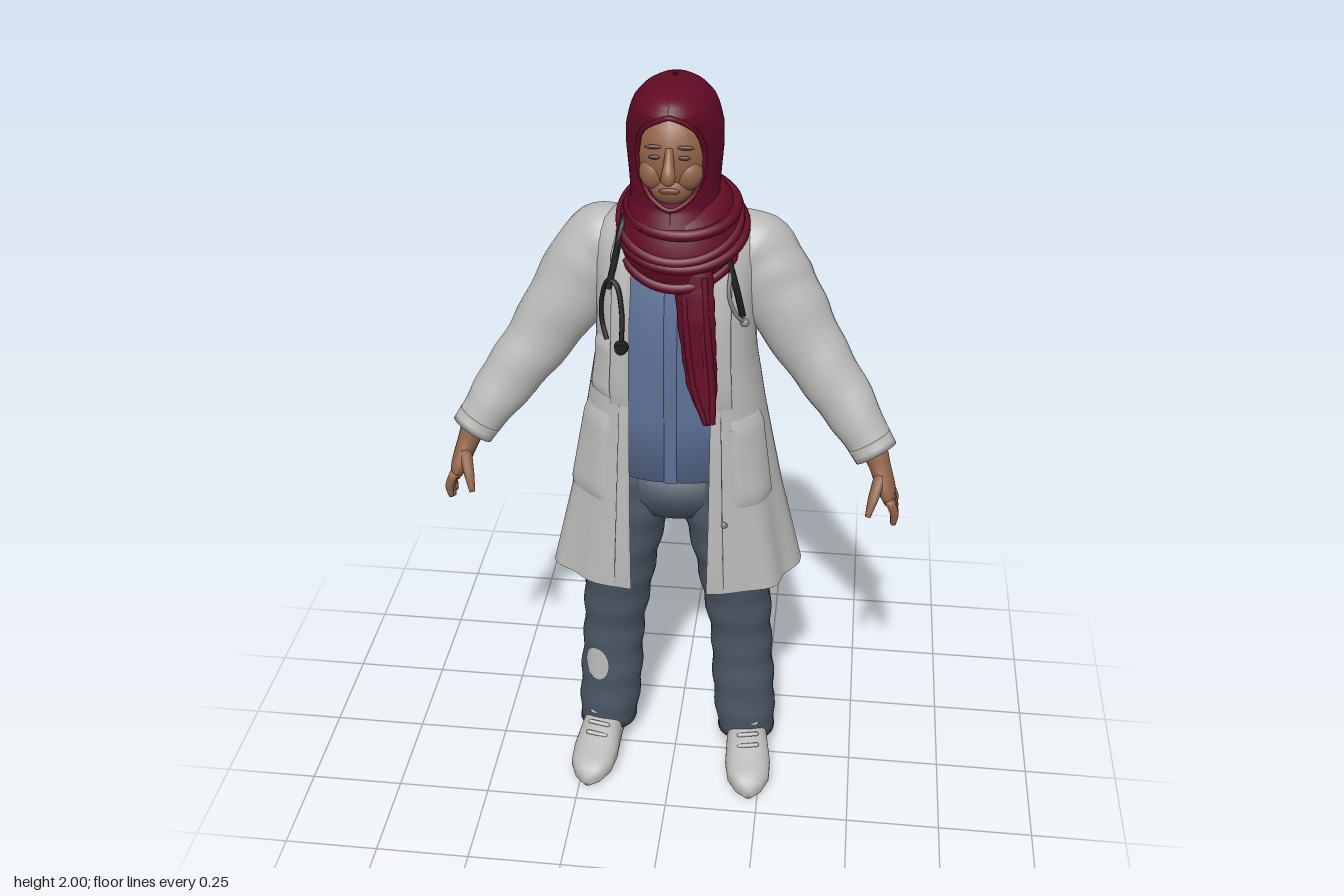
import * as THREE from 'three';

const mat = (name, color, side = THREE.FrontSide) => {
  const m = new THREE.MeshStandardMaterial({ color, side });
  m.name = name;
  return m;
};
const V = (x, y, z) => new THREE.Vector3(x, y, z);
const range = (n, f) => Array.from({ length: n + 1 }, (_, i) => f(i / n, i));
const spow = (v, p) => Math.sign(v) * Math.abs(v) ** p;

// Linear lookup in a table of rows whose first entry is the height
function lookup(table, y) {
  let i = 0;
  while (i < table.length - 2 && y > table[i + 1][0]) i++;
  const [a, b] = [table[i], table[i + 1]];
  const k = THREE.MathUtils.clamp((y - a[0]) / (b[0] - a[0]), 0, 1);
  return a.map((v, j) => v + (b[j] - v) * k);
}

// Skin over rings of points that run counter-clockwise about the direction of travel
function loft(rings, closed = true, caps = false) {
  const n = rings[0].length, pos = [], idx = [];
  rings.forEach(r => r.forEach(p => pos.push(p.x, p.y, p.z)));
  const at = (i, j) => i * n + (j % n);
  for (let i = 0; i < rings.length - 1; i++)
    for (let j = 0; j < (closed ? n : n - 1); j++) {
      const a = at(i, j), b = at(i, j + 1), c = at(i + 1, j), d = at(i + 1, j + 1);
      idx.push(a, b, c, b, d, c);
    }
  if (caps) [0, rings.length - 1].forEach((i, end) => {
    const m = rings[i].reduce((s, p) => s.add(p), V(0, 0, 0)).divideScalar(n);
    const c = pos.push(m.x, m.y, m.z) / 3 - 1;
    for (let j = 0; j < n; j++) end ? idx.push(c, at(i, j), at(i, j + 1)) : idx.push(c, at(i, j + 1), at(i, j));
  });
  const g = new THREE.BufferGeometry();
  g.setAttribute('position', new THREE.Float32BufferAttribute(pos, 3));
  g.setIndex(idx);
  g.computeVertexNormals();
  return g;
}

// Tapered limb through points [x, y, z, side radius, depth radius], with cloth wrinkles
function limb(pts, steps = 12, wrinkle = 0, sides = 16) {
  const curve = new THREE.CatmullRomCurve3(pts.map(p => V(p[0], p[1], p[2])));
  return loft(range(steps, t => {
    const c = curve.getPoint(t), T = curve.getTangent(t);
    const U = V(0, 0, 1).addScaledVector(T, -T.z).normalize(), W = T.clone().cross(U);
    const r = lookup(pts.map((p, i) => [i / (pts.length - 1), p[3], p[4]]), t);
    return range(sides - 1, (_, j) => {
      const a = j / sides * Math.PI * 2, k = 1 + wrinkle * Math.sin(t * 40 + 2 * Math.sin(a + t * 5));
      return c.clone().addScaledVector(U, r[2] * k * Math.cos(a)).addScaledVector(W, r[1] * k * Math.sin(a));
    });
  }), true, true);
}

// Horizontal ring; drop lowers its front edge
function ring(y, cx, zc, w, dF, dB, drop = 0, sides = 40, p = 1) {
  return range(sides - 1, (_, j) => {
    const a = j / sides * Math.PI * 2, s = Math.sin(a), c = Math.cos(a);
    return V(cx + w * spow(s, p), y - drop * c, zc + (c > 0 ? dF : dB) * spow(c, p));
  });
}

// Coat: height, half width, front depth, back depth, half opening
const COAT = [[.67, .32, .195, .16, .098], [.9, .27, .185, .158, .1], [1.15, .225, .17, .15, .1],
  [1.3, .2, .165, .135, .1], [1.42, .195, .155, .135, .098], [1.52, .2, .13, .13, .095],
  [1.6, .2, .1, .115, .1], [1.65, .165, .075, .09, .09], [1.69, .09, .045, .07, .06]];
const N = 2.5, ZC = -.03;
function coatPoint(t, y, off = 0) {
  const [, w, dF, dB, o] = lookup(COAT, y);
  const a0 = Math.asin((o / w) ** (N / 2)), a = a0 + t * (Math.PI * 2 - 2 * a0);
  const s = Math.sin(a), c = Math.cos(a);
  const fold = .022 * Math.max(0, (1.15 - y) / .48) * Math.sin(a * 9) * Math.sin(Math.PI * t);
  const k = off + fold;
  return V(w * spow(s, 2 / N) + k * s, y, ZC + (c > 0 ? dF : dB) * spow(c, 2 / N) + k * c);
}
const coatZ = (x, y) => {
  const [, w, dF] = lookup(COAT, y);
  return ZC + dF * Math.max(0, 1 - (Math.abs(x) / w) ** N) ** (1 / N);
};
// Cloth patch that hugs the coat
const coatPatch = (t0, t1, y0, y1, off) => loft(range(10, (v, i) => range(12, (u, j) => {
  const edge = i === 0 || i === 10 || j === 0 || j === 12;
  return coatPoint(t0 + (t1 - t0) * u, y0 + (y1 - y0) * v, edge ? 0 : off);
})), false);

// Head scarf: height, half width, front depth, back depth, half face opening
const HOOD = [[1.66, .125, .125, .125, 0], [1.71, .106, .108, .117, .001], [1.735, .105, .105, .12, .045],
  [1.78, .108, .105, .128, .07], [1.84, .113, .115, .13, .078], [1.89, .112, .132, .128, .07],
  [1.93, .102, .148, .12, .045], [1.95, .093, .148, .111, .001], [1.975, .07, .12, .088, 0],
  [1.992, .04, .06, .055, 0], [2, .006, .01, .01, 0]];
const hoodPoint = (t, y) => {
  const [, w, dF, dB, o] = lookup(HOOD, y);
  const a0 = Math.asin(o / w), a = a0 + t * (Math.PI * 2 - 2 * a0), c = Math.cos(a);
  return V(w * Math.sin(a), y, (c > 0 ? dF : dB) * c);
};

const LEG = [[.06, .2, .081, -.05, .095], [.2, .19, .086, -.05, .092], [.4, .178, .083, -.055, .09],
  [.67, .15, .1, -.04, .11], [.85, .11, .1, -.035, .115], [.96, .095, .095, -.035, .11]];

export function createModel() {
  const root = new THREE.Group();
  const white = mat('coat white', 0xb9b9b8, THREE.DoubleSide), wine = mat('scarf wine', 0x610a24, THREE.DoubleSide);
  const blue = mat('shirt blue', 0x5d7095), denim = mat('trouser denim', 0x4a5664);
  const skin = mat('skin', 0x936549), dark = mat('stethoscope black', 0x1d1d20);
  const brown = mat('brow brown', 0x543a2c), lip = mat('lip', 0x6f4438), metal = mat('metal grey', 0x85878a);
  const shoe = mat('shoe white', 0xb4b4b2);
  const add = (name, geo, m, x = 0, y = 0, z = 0) => {
    const mesh = new THREE.Mesh(geo, m);
    mesh.name = name;
    mesh.position.set(x, y, z);
    root.add(mesh);
    return mesh;
  };
  const ball = (name, m, x, y, z, rx, ry, rz) =>
    add(name, new THREE.SphereGeometry(1, 24, 16), m, x, y, z).scale.set(rx, ry, rz);
  const tube = (name, m, pts, r, closed = false) =>
    add(name, new THREE.TubeGeometry(new THREE.CatmullRomCurve3(pts, closed), 48, r, 8, closed), m);

  // Coat with pockets, lapels, back seam and button
  add('coat', loft(range(40, v => range(72, u => coatPoint(u, .67 + 1.02 * v))), false), white);
  for (const m of [t => t, t => 1 - t]) {
    const span = (a, b) => [Math.min(m(a), m(b)), Math.max(m(a), m(b))];
    add('hipPocket', coatPatch(...span(.05, .17), .92, 1.165, .009), white);
    add('lapel', coatPatch(...span(0, .055), 1.2, 1.62, .009), white);
    add('frontHem', coatPatch(...span(0, .025), .67, 1.2, .005), white);
  }
  add('chestPocket', coatPatch(.86, .95, 1.21, 1.36, .008), white);
  add('backYoke', coatPatch(.3, .7, 1.15, 1.19, .007), white);
  ball('button', metal, .14, .88, coatZ(.14, .88) + .004, .009, .009, .004);

  // Shirt
  const SHIRT = [[.975, .185, .14, .12], [1.15, .18, .142, .125], [1.3, .17, .145, .11],
    [1.42, .165, .138, .11], [1.52, .16, .115, .1], [1.6, .13, .09, .08]];
  add('shirt', loft(SHIRT.map(([y, w, f, b]) => ring(y, 0, ZC, w, f, b, 0, 40, .85)), true, true), blue);
  add('shirtPlacket', loft(SHIRT.slice(0, 5).map(([y, , f]) =>
    [V(-.016, y, ZC + f), V(-.012, y, ZC + f + .005), V(.012, y, ZC + f + .005), V(.016, y, ZC + f)]), false), blue);

  // Trousers
  add('hips', loft([[.84, .13, .1], [.9, .18, .12], [1, .18, .125]].map(([y, w, d]) =>
    ring(y, 0, ZC, w, d, d)), true, true), denim);
  for (const s of [-1, 1]) {
    add('trouserLeg', loft(range(36, v => {
      const [y, cx, w, zc, d] = lookup(LEG, .06 + .9 * v);
      const k = .003 * Math.sin(y * 55);
      return ring(y, s * cx, zc, w + k, d + k, d - k, -.015 * (1 - v), 32, .92);
    }), true, true), denim);

    // Shoe: rings run from heel to toe, turned slightly outward
    const foot = [[-.147, .02, .05], [-.137, .042, .09], [-.08, .053, .12], [0, .055, .13], [.05, .059, .112],
      [.1, .063, .085], [.15, .058, .066], [.185, .038, .052], [.199, .012, .03]];
    const shoeMesh = add('shoe', loft(foot.map(([z, w, h]) => range(27, (_, j) => {
      const a = j / 28 * Math.PI * 2;
      return V(w * spow(Math.cos(a), .8), h / 2 + h / 2 * spow(Math.sin(a), .75), z);
    })), true, true), shoe, s * .205);
    shoeMesh.rotation.y = s * .11;
    for (const z of [.035, .06, .085]) {
      const lace = add('lace', new THREE.CapsuleGeometry(.006, .05, 4, 8), shoe, s * (.205 + z * .11), .155 - z * .72, z);
      lace.rotation.z = Math.PI / 2 + .2 * s;
    }

    // Sleeve and cuff
    add('sleeve', limb([[s * .1, 1.57, -.05, .075, .075], [s * .18, 1.555, -.055, .098, .088],
      [s * .25, 1.45, -.04, .1, .086], [s * .34, 1.31, -.01, .083, .072], [s * .43, 1.19, .03, .071, .062],
      [s * .507, 1.08, .072, .053, .05]], 40, .022, 24), white);
    add('cuff', limb([[s * .49, 1.105, .062, .058, .055], [s * .509, 1.077, .073, .056, .053]], 3, 0, 24), white);

    // Hand
    add('palm', limb([[s * .5, 1.1, .07, .034, .036], [s * .52, 1.05, .085, .027, .034],
      [s * .54, .995, .1, .023, .045], [s * .55, .965, .104, .016, .043]]), skin);
    for (let f = 0; f < 4; f++) {
      const z = .07 + f * .024, len = [.05, .068, .07, .058][f];
      add('finger', limb([[s * .548, .985, z, .012, .013], [s * .563, .975 - len * .5, z - .001, .011, .011],
        [s * .562, .97 - len, z - .006, .007, .007]], 6, 0, 10), skin);
    }
    add('thumb', limb([[s * .523, 1.035, .11, .016, .018], [s * .508, .99, .148, .013, .014],
      [s * .497, .95, .17, .007, .007]], 8, 0, 10), skin);

    // Eye, brow and cheek
    ball('cheek', skin, s * .038, 1.8, .088, .035, .04, .032);
    ball('eye', brown, s * .034, 1.848, .122, .014, .005, .004);
    ball('brow', brown, s * .036, 1.871, .119, .021, .005, .004);
  }
  // Light patch on the right trouser leg
  const patch = new THREE.RingGeometry(.001, 1, 28, 6), p = patch.attributes.position;
  for (let i = 0; i < p.count; i++) {
    const x = -.215 + .034 * p.getX(i), y = .31 + .054 * p.getY(i);
    const [, cx, w, zc, d] = lookup(LEG, y);
    p.setXYZ(i, x, y, zc + d * Math.max(0, 1 - (Math.abs(x + cx) / w) ** 2.17) ** .46 + .007);
  }
  patch.computeVertexNormals();
  add('legPatch', patch, white);

  // Head and face
  ball('head', skin, 0, 1.84, .025, .092, .125, .102);
  ball('jaw', skin, 0, 1.765, .072, .052, .045, .052);
  add('nose', limb([[0, 1.868, .118, .009, .01], [0, 1.835, .132, .012, .012], [0, 1.808, .146, .018, .017],
    [0, 1.793, .132, .012, .01]], 10, 0, 12), skin);
  ball('mouth', lip, 0, 1.767, .122, .024, .008, .005);

  // Head scarf: hood, face hem, cowl with folds, hanging end
  add('hood', loft(range(60, v => range(56, u => hoodPoint(u, 1.66 + .34 * v))), false), wine);
  tube('hoodHem', wine, [...range(9, v => hoodPoint(0, 1.715 + .235 * v)),
    ...range(9, v => hoodPoint(1, 1.945 - .23 * v))], .006, true);
  const COWL = [[1.595, .075, .115, .1, .1], [1.605, .075, .145, .135, .12], [1.65, .06, .152, .14, .127],
    [1.68, .045, .138, .13, .124], [1.71, .03, .115, .115, .116], [1.73, .022, .1, .095, .112]];
  add('cowl', loft(COWL.map(([y, k, w, f, b]) => ring(y, .012, 0, w, f, b, k)), true, true), wine);
  [[1.61, .08, .138, .132, .114], [1.635, .055, .147, .136, .118], [1.66, .065, .14, .133, .117],
    [1.688, .03, .127, .12, .114]].forEach(([y, k, w, f, b], i) =>
    tube('cowlFold', wine, ring(y, .012 + .006 * (i % 2), 0, w, f, b, k, 20), .014, true));
  add('scarfEnd', limb([[.055, 1.57, .11, .045, .02], [.062, 1.48, .128, .046, .017], [.072, 1.37, .138, .042, .016],
    [.082, 1.28, .147, .037, .016], [.1, 1.185, .158, .014, .014]], 24, .03), wine);
  for (const x of [-.022, .004, .026])
    tube('scarfPleat', wine, [V(.056 + x, 1.56, .124), V(.062 + x, 1.47, .138), V(.072 + x, 1.36, .148),
      V(.086 + x * .8, 1.26, .157), V(.1 + x * .3, 1.19, .167)], .009);

  // Stethoscope resting on the coat
  const on = (x, y, d = .014) => V(x, y, coatZ(x, y) + d);
  tube('stethoscopeTube', dark, [on(-.15, 1.5), on(-.135, 1.57), V(-.12, 1.645, .06), V(-.1, 1.69, -.04), V(0, 1.7, -.1),
    V(.1, 1.69, -.04), V(.12, 1.645, .06), on(.135, 1.58), on(.155, 1.51), on(.17, 1.44)], .008);
  tube('stethoscopeLoop', dark, [on(-.115, 1.375, .02), on(-.115, 1.45), on(-.13, 1.515), on(-.15, 1.52),
    on(-.168, 1.47), on(-.168, 1.41), on(-.155, 1.37)], .006);
  const chest = add('chestPiece', new THREE.CylinderGeometry(.014, .018, .018, 20), dark, -.115, 1.368, coatZ(-.115, 1.368) + .028);
  chest.rotation.x = Math.PI / 2;
  tube('earTube', metal, [on(.14, 1.56), on(.138, 1.5), on(.155, 1.45), on(.175, 1.42)], .005);
  ball('earTip', metal, .175, 1.42, coatZ(.175, 1.42) + .015, .011, .011, .011);
  return root;
}
